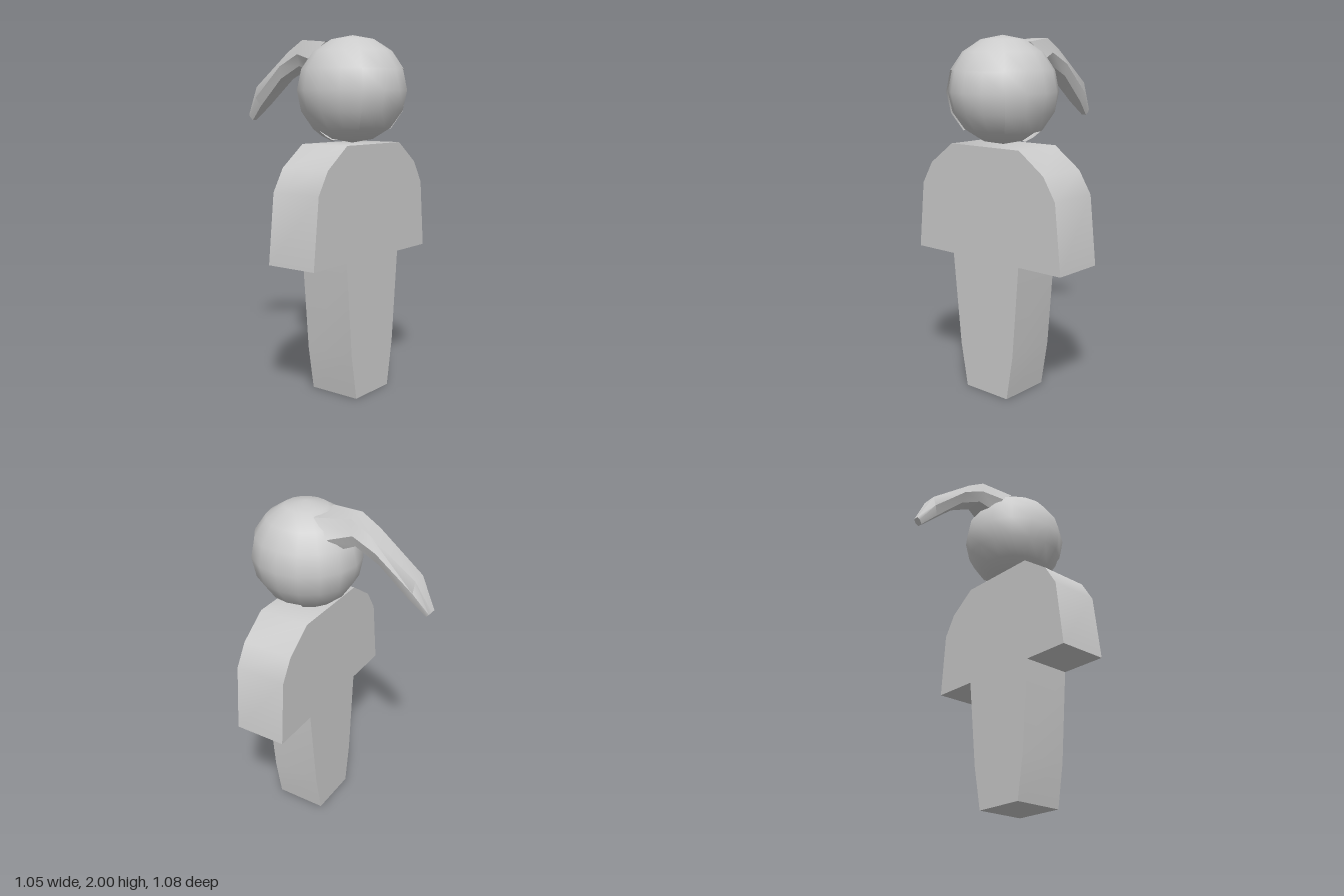
import * as THREE from 'three';
import { mergeGeometries, toCreasedNormals } from 'three/addons/utils/BufferGeometryUtils.js';

const material = new THREE.MeshStandardMaterial({ color: 0xcccccc });
const thinMaterial = new THREE.MeshStandardMaterial({ color: 0xcccccc, side: THREE.DoubleSide });
const STEP = Math.PI / 8; // the head's spheres have 16 sides

function add(group, name, geometry, mat = material) {
  const mesh = new THREE.Mesh(geometry, mat);
  mesh.name = name;
  group.add(mesh);
  return mesh;
}

// Flat figure outline: shoulders, hanging arms and tapering legs
function bodyGeometry() {
  const outline = [
    [0.15, 0], [0.195, 0.26], [0.24, 0.78], [0.525, 0.78], [0.487, 1.165], [0.41, 1.29], [0.245, 1.41],
    [-0.25, 1.41], [-0.415, 1.29], [-0.49, 1.165], [-0.53, 0.78], [-0.25, 0.78], [-0.2, 0.25], [-0.155, 0],
  ].map(([x, y]) => new THREE.Vector2(x, y));
  const geometry = new THREE.ExtrudeGeometry(new THREE.Shape(outline), { depth: 0.305, bevelEnabled: false });
  geometry.translate(0, 0, 0.08);
  return toCreasedNormals(geometry, 0.65);
}

// Hair shell: crown, sides around the face opening, and nape.
// Columns count from the right side (-x) through the front (column 4).
function hairGeometry() {
  const patch = (column, columns, row, rows) =>
    new THREE.SphereGeometry(1, columns, rows, column * STEP, columns * STEP, row * STEP, rows * STEP);
  return mergeGeometries([patch(0, 16, 0, 3), patch(6, 12, 3, 3), patch(9, 6, 6, 1)]);
}

// Ponytail: six-sided sections, wide on top, curving back and down to a blunt tip
function ponytailGeometry() {
  // each section: [half width, z, y] for its top, middle and lower edge
  const sections = [
    [[0.1, 0.12, 1.965], [0.13, 0.02, 1.875], [0.08, 0.0, 1.8]],
    [[0.057, -0.08, 1.985], [0.08, -0.1, 1.905], [0.055, -0.105, 1.84]],
    [[0.055, -0.19, 1.92], [0.078, -0.235, 1.84], [0.055, -0.245, 1.77]],
    [[0.042, -0.45, 1.725], [0.058, -0.445, 1.66], [0.04, -0.42, 1.61]],
    [[0.015, -0.54, 1.56], [0.022, -0.527, 1.545], [0.015, -0.51, 1.525]],
  ];
  const positions = [];
  for (const s of sections) {
    for (const [w, z, y] of s) positions.push(w, y, z);
    for (const [w, z, y] of [...s].reverse()) positions.push(-w, y, z);
  }
  const index = [];
  for (let k = 0; k < sections.length - 1; k++) {
    for (let i = 0; i < 6; i++) {
      const a = k * 6 + i, b = k * 6 + (i + 1) % 6;
      index.push(a, b, b + 6, a, b + 6, a + 6);
    }
  }
  const tip = (sections.length - 1) * 6;
  for (let i = 1; i < 5; i++) index.push(tip, tip + i, tip + i + 1);
  const geometry = new THREE.BufferGeometry();
  geometry.setAttribute('position', new THREE.Float32BufferAttribute(positions, 3));
  geometry.setIndex(index);
  return toCreasedNormals(geometry, 0.65);
}

export function createModel() {
  const model = new THREE.Group();
  model.name = 'figure';

  add(model, 'body', bodyGeometry());

  const head = add(model, 'head', new THREE.SphereGeometry(1, 16, 8));
  head.scale.set(0.285, 0.288, 0.311);
  head.position.set(0, 1.7, 0.233);

  const hair = add(model, 'hair', hairGeometry(), thinMaterial);
  hair.scale.set(0.302, 0.3, 0.313);
  hair.position.set(0, 1.7, 0.232);

  add(model, 'ponytail', ponytailGeometry(), thinMaterial);
  return model;
}
